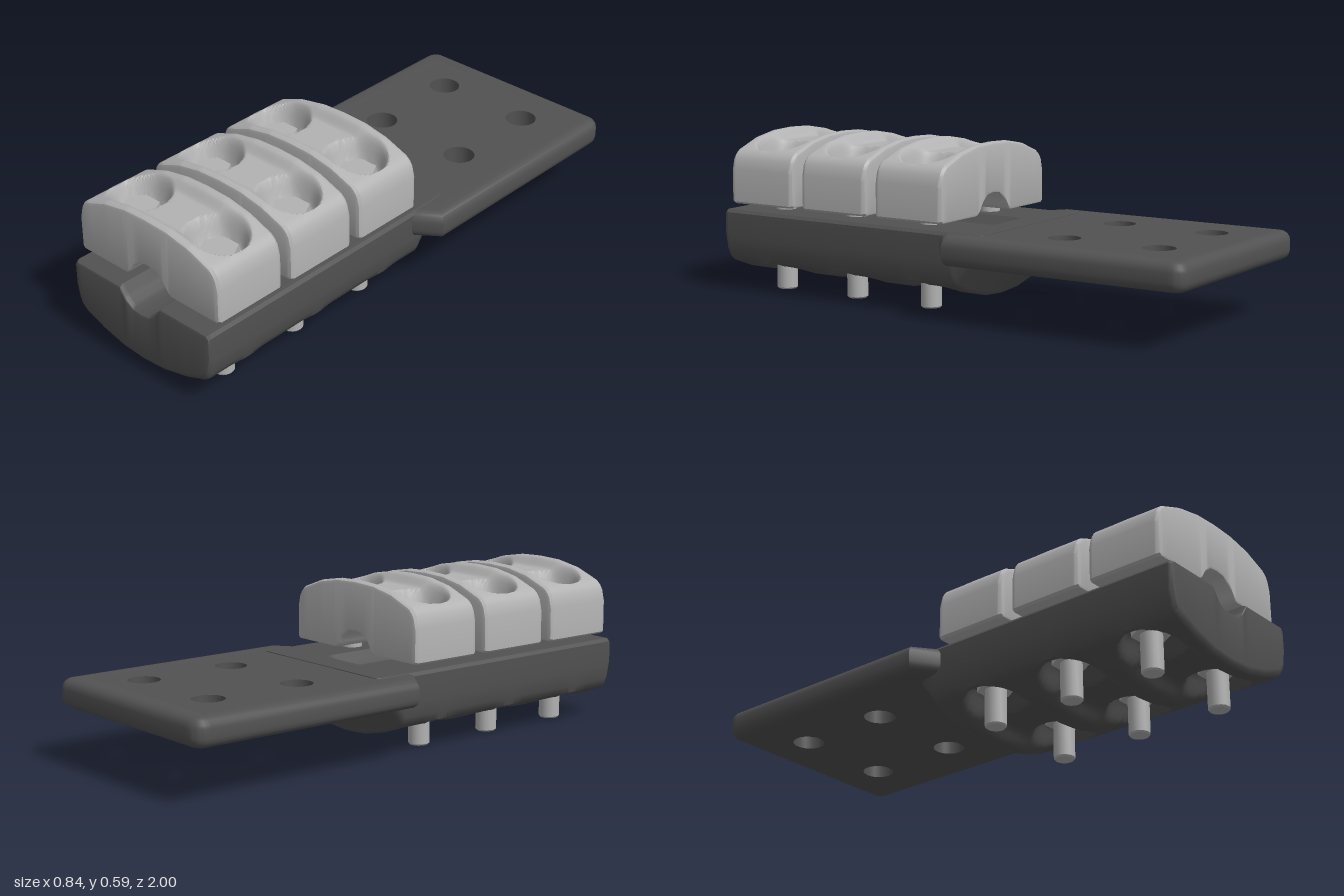
import * as THREE from 'three';
import { toCreasedNormals } from 'three/addons/utils/BufferGeometryUtils.js';

const BOLT_X = 0.19;
const ROWS = [0.81, 0.475, 0.14];
const { lerp, smoothstep } = THREE.MathUtils;

// Height on a symmetric profile given as [x, y] points from the middle outwards
function profile(points, x) {
  const a = Math.abs(x);
  for (let i = 1; i < points.length; i++) {
    const [x0, y0] = points[i - 1], [x1, y1] = points[i];
    if (a <= x1) return lerp(y0, y1, (a - x0) / (x1 - x0));
  }
  return points[points.length - 1][1];
}

// Drop of a rounded edge of radius r at distance d from that edge
const edge = (d, r) => (d < r ? r - Math.sqrt(r * r - (r - d) ** 2) : 0);

// Long oval recess with a deeper round seat at each bolt
function recess(surface, x, z, saddle, seat, inner, outer) {
  const dx = Math.abs(x) - BOLT_X;
  const mask = 1 - smoothstep(Math.hypot(Math.max(dx, 0), z), inner, outer);
  const floor = lerp(seat, saddle, smoothstep(Math.hypot(dx, z), 0.08, 0.12));
  return lerp(surface, floor, mask);
}

// Solid block between a lower and an upper surface, with slightly rounded plan corners
function block(halfWidth, z0, z1, cols, rows, top, bottom) {
  const pos = [], index = [], layer = (cols + 1) * (rows + 1);
  const zs = [];
  for (let j = 0; j <= rows; j++) zs.push(lerp(z0, z1, j / rows));
  zs[1] = z0 + 0.003;
  zs[rows - 1] = z1 - 0.003;
  for (const height of [top, bottom]) {
    for (const z of zs) {
      const shrink = 1 - edge(Math.min(z - z0, z1 - z), 0.016) / halfWidth;
      for (let i = 0; i <= cols; i++) {
        const x = lerp(-halfWidth, halfWidth, i / cols);
        pos.push(x * shrink, height(x, z), z);
      }
    }
  }
  const at = (i, j) => j * (cols + 1) + i;
  for (let j = 0; j < rows; j++) {
    for (let i = 0; i < cols; i++) {
      const a = at(i, j), b = at(i, j + 1), c = at(i + 1, j + 1), d = at(i + 1, j);
      index.push(a, b, c, a, c, d);
      index.push(a + layer, c + layer, b + layer, a + layer, d + layer, c + layer);
    }
  }
  // Side walls around the perimeter
  const rim = [];
  for (let i = 0; i < cols; i++) rim.push(at(i, rows));
  for (let j = rows; j > 0; j--) rim.push(at(cols, j));
  for (let i = cols; i > 0; i--) rim.push(at(i, 0));
  for (let j = 0; j < rows; j++) rim.push(at(0, j));
  rim.forEach((p, k) => {
    const q = rim[(k + 1) % rim.length];
    index.push(p + layer, q + layer, q, p + layer, q, p);
  });
  const geo = new THREE.BufferGeometry();
  geo.setAttribute('position', new THREE.Float32BufferAttribute(pos, 3));
  geo.setIndex(index);
  return toCreasedNormals(geo, 0.6);
}

// Upper clamp: arched saddle with a cable groove below
function clampGeometry() {
  const arch = [[0, 0.59], [0.1, 0.586], [0.2, 0.568], [0.3, 0.531], [0.32, 0.512], [0.33, 0.49], [0.335, 0.46]];
  const groove = [[0, 0.405], [0.04, 0.4], [0.075, 0.372], [0.1, 0.336], [0.11, 0.33], [0.325, 0.33], [0.335, 0.338]];
  const h = 0.146;
  const top = (x, z) =>
    recess(profile(arch, x), x, z, 0.55, 0.46, 0.075, 0.122) - edge(h - Math.abs(z), 0.014);
  const bottom = (x, z) => profile(groove, x) + edge(h - Math.abs(z), 0.01);
  return block(0.335, -h, h, 68, 44, top, bottom);
}

// Lower body: grooved on top, ribbed and hollowed below, sloping up into the plate
function bodyGeometry() {
  const groove = [[0, 0.238], [0.04, 0.243], [0.07, 0.264], [0.1, 0.305]];
  const belly = [[0, 0.04], [0.1, 0.047], [0.2, 0.071], [0.29, 0.105], [0.31, 0.122], [0.32, 0.145], [0.33, 0.2]];
  const top = (x, z) => {
    const open = smoothstep(z, -0.065, -0.03);
    const side = Math.abs(x) > 0.1 ? edge(0.33 - Math.abs(x), 0.012) : 0;
    return lerp(0.305, profile(groove, x), open) - side - edge(1 - z, 0.016);
  };
  const bottom = (x, z) => {
    let y = profile(belly, x);
    for (const row of ROWS) y = recess(y, x, z - row, 0.1, 0.17, 0.085, 0.14);
    y += Math.max(0, -0.04 - z) * 1.3 + edge(1 - z, 0.025);
    return z < -0.04 ? Math.min(y, 0.22) : y;
  };
  return block(0.33, -0.17, 1, 66, 156, top, bottom);
}

// Flat shape in (x, z) extruded upwards from y
function extrudeUp(shape, y, options) {
  const geo = new THREE.ExtrudeGeometry(shape, { curveSegments: 12, ...options });
  geo.rotateX(Math.PI / 2);
  geo.computeBoundingBox();
  geo.translate(0, y - geo.boundingBox.min.y, 0);
  return toCreasedNormals(geo, 0.6);
}

function createModel() {
  const model = new THREE.Group();
  const darkMetal = new THREE.MeshStandardMaterial({ color: 0x525252 });
  darkMetal.name = 'dark metal';
  const lightMetal = new THREE.MeshStandardMaterial({ color: 0xb2b2b2 });
  lightMetal.name = 'light metal';
  const add = (name, geo, mat, x = 0, y = 0, z = 0, parent = model) => {
    const mesh = new THREE.Mesh(geo, mat);
    mesh.name = name;
    mesh.position.set(x, y, z);
    parent.add(mesh);
    return mesh;
  };

  add('lowerBody', bodyGeometry(), darkMetal);

  // Mounting plate: a rounded rim with a drilled panel inside it
  const panelCorners = [[-0.34, -0.92], [0.34, -0.92], [0.34, -0.14], [-0.34, -0.14]]
    .map(([x, z]) => new THREE.Vector2(x, z));
  const rim = new THREE.Shape();
  rim.moveTo(-0.365, -0.965);
  rim.lineTo(0.365, -0.965);
  rim.quadraticCurveTo(0.385, -0.965, 0.385, -0.945);
  rim.lineTo(0.385, -0.08);
  rim.lineTo(0.305, -0.02);
  rim.lineTo(0.18, -0.02);
  rim.lineTo(0.18, -0.12);
  rim.lineTo(-0.18, -0.12);
  rim.lineTo(-0.18, -0.02);
  rim.lineTo(-0.305, -0.02);
  rim.lineTo(-0.385, -0.08);
  rim.lineTo(-0.385, -0.945);
  rim.quadraticCurveTo(-0.385, -0.965, -0.365, -0.965);
  rim.holes.push(new THREE.Path(panelCorners));
  add('plateRim', extrudeUp(rim, 0.2, {
    depth: 0.033, bevelEnabled: true, bevelSize: 0.035, bevelThickness: 0.035, bevelSegments: 4,
  }), darkMetal);

  const panel = new THREE.Shape(panelCorners);
  for (const x of [-BOLT_X, BOLT_X]) {
    for (const z of [-0.79, -0.42]) {
      panel.holes.push(new THREE.Path().absarc(x, z, 0.058, 0, Math.PI * 2, true));
    }
  }
  add('platePanel', extrudeUp(panel, 0.2, { depth: 0.103, bevelEnabled: false }), darkMetal);

  // Three clamps, each held by a pair of hex bolts
  const clamp = clampGeometry();
  const head = toCreasedNormals(new THREE.CylinderGeometry(0.068, 0.074, 0.06, 6).rotateY(Math.PI / 2), 0.5);
  const nut = toCreasedNormals(new THREE.CylinderGeometry(0.068, 0.068, 0.05, 6).rotateY(Math.PI / 2), 0.5);
  const shaftProfile = [[0, 0], [0.034, 0], [0.039, 0.006], [0.039, 0.46]].map(([r, y]) => new THREE.Vector2(r, y));
  const shaft = toCreasedNormals(new THREE.LatheGeometry(shaftProfile, 16), 0.6);
  for (const z of ROWS) {
    add('clamp', clamp, lightMetal, 0, 0, z);
    for (const x of [-BOLT_X, BOLT_X]) {
      const bolt = new THREE.Group();
      bolt.name = 'bolt';
      bolt.position.set(x, 0, z);
      add('boltHead', head, lightMetal, 0, 0.465, 0, bolt);
      add('boltShaft', shaft, lightMetal, 0, 0, 0, bolt);
      add('boltNut', nut, lightMetal, 0, 0.165, 0, bolt);
      model.add(bolt);
    }
  }
  return model;
}

export { createModel };
